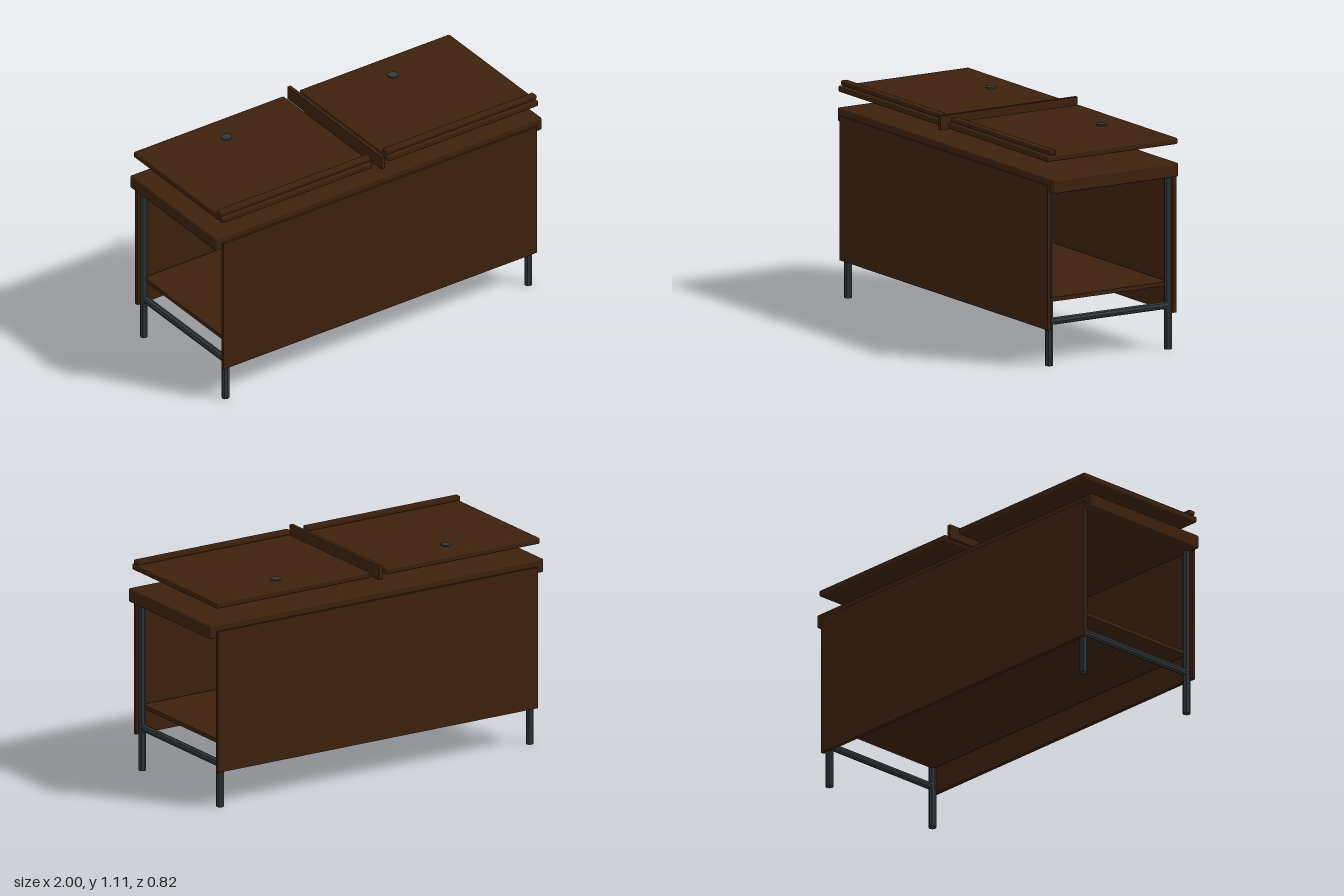
import * as THREE from 'three';
import { RoundedBoxGeometry } from 'three/addons/geometries/RoundedBoxGeometry.js';

export function createModel() {
  const model = new THREE.Group();
  model.name = 'desk';

  const wood = new THREE.MeshStandardMaterial({ color: 0x3d210d });
  wood.name = 'dark wood';
  const metal = new THREE.MeshStandardMaterial({ color: 0x30393b, flatShading: true });
  metal.name = 'grey metal';

  const add = (name, geometry, material, x, y, z) => {
    const mesh = new THREE.Mesh(geometry, material);
    mesh.name = name;
    mesh.position.set(x, y, z);
    model.add(mesh);
    return mesh;
  };
  // Sharp or softened board given by its limits in y
  const board = (name, w, y0, y1, d, x = 0, z = 0, bevel = 0) => {
    const h = y1 - y0;
    const geometry = bevel
      ? new RoundedBoxGeometry(w, h, d, 2, bevel)
      : new THREE.BoxGeometry(w, h, d);
    return add(name, geometry, wood, x, (y0 + y1) / 2, z);
  };

  // Body: top, long side panels and lower shelf
  board('tableTop', 2, 0.894, 0.965, 0.744, 0, 0, 0.008);
  board('frontPanel', 1.92, 0.189, 0.93, 0.019, 0, 0.3735);
  board('backPanel', 1.92, 0.189, 0.93, 0.019, 0, -0.3735);
  board('shelf', 1.85, 0.324, 0.345, 0.71);

  // Floating divider between the two raised boards
  board('divider', 0.02, 1.041, 1.114, 0.816);

  const legGeometry = new THREE.CylinderGeometry(0.02, 0.02, 0.9, 8);
  const railGeometry = new THREE.CylinderGeometry(0.019, 0.019, 0.7, 8);
  const discGeometry = new THREE.CylinderGeometry(0.027, 0.027, 0.012, 20);

  for (const side of [1, -1]) {
    const label = side > 0 ? 'left' : 'right';
    // Legs with a cross rail at each end
    add(label + 'FrontLeg', legGeometry, metal, side * 0.928, 0.45, 0.354);
    add(label + 'BackLeg', legGeometry, metal, side * 0.928, 0.45, -0.354);
    add(label + 'Rail', railGeometry, metal, side * 0.928, 0.225, 0).rotation.x = Math.PI / 2;

    // Raised sloping-board leaf with its front ledge and metal disc
    board(label + 'Leaf', 0.92, 1.053, 1.085, 0.776, side * 0.508, 0, 0.008);
    board(label + 'Ledge', 0.92, 1.086, 1.11, 0.038, side * 0.508, 0.354, 0.006);
    add(label + 'Disc', discGeometry, metal, side * 0.51, 1.086, -0.228);
  }
  return model;
}
